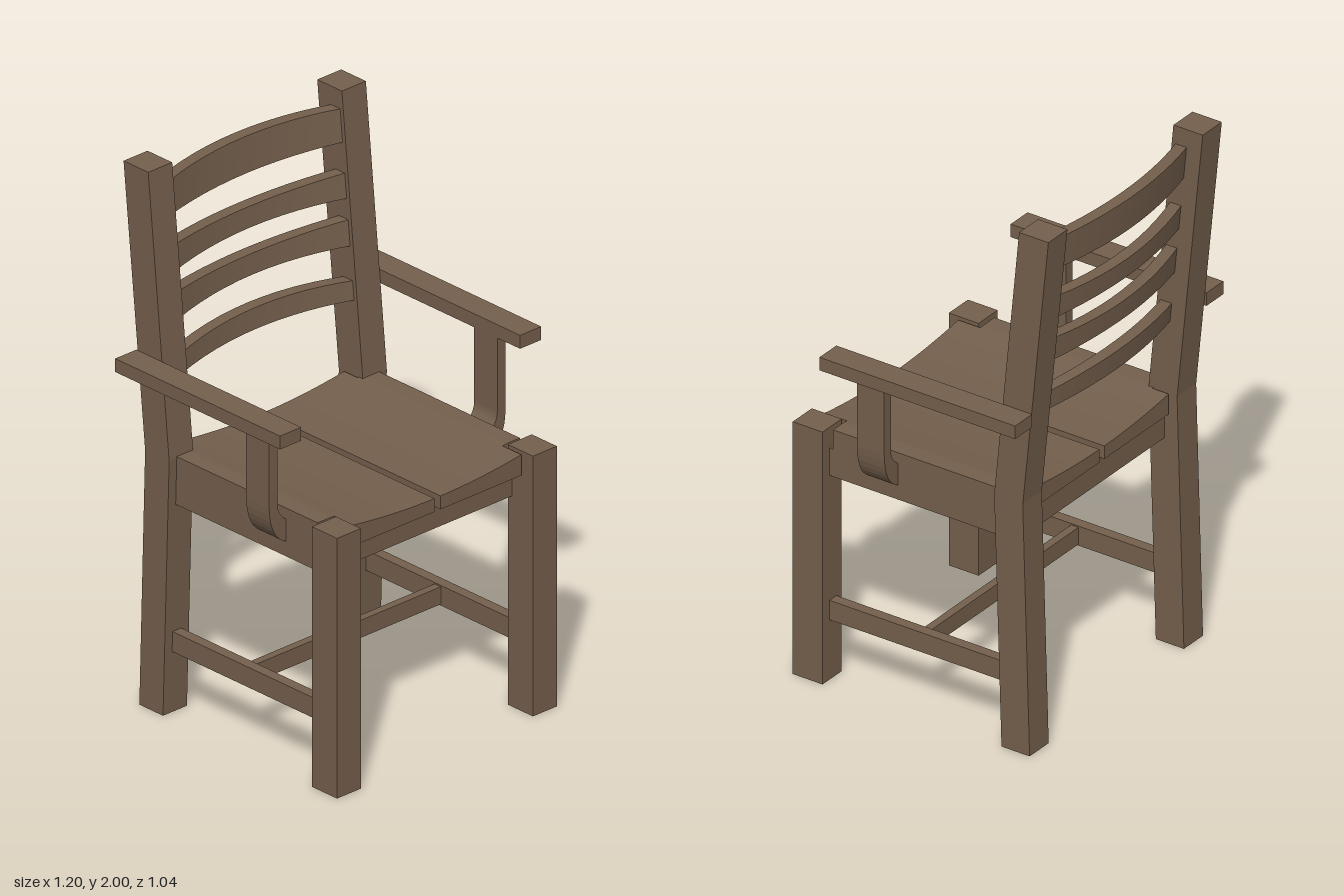
import * as THREE from 'three';

const wood = new THREE.MeshStandardMaterial({ color: 0x745f4c });
wood.name = 'brownWood';

export function createModel() {
  const chair = new THREE.Group();
  chair.name = 'armchair';

  const add = (name, geometry) => {
    const mesh = new THREE.Mesh(geometry, wood);
    mesh.name = name;
    chair.add(mesh);
    return mesh;
  };
  // box given by its limits on each axis
  const box = (name, x0, x1, y0, y1, z0, z1) =>
    add(name, new THREE.BoxGeometry(x1 - x0, y1 - y0, z1 - z0)
      .translate((x0 + x1) / 2, (y0 + y1) / 2, (z0 + z1) / 2));
  const bothBox = (name, x0, x1, ...rest) => {
    box('left' + name, x0, x1, ...rest);
    box('right' + name, -x1, -x0, ...rest);
  };
  // xy outline extruded from z0 to z1
  const slab = (shape, z0, z1) =>
    new THREE.ExtrudeGeometry(shape, { depth: z1 - z0, bevelEnabled: false, curveSegments: 8 })
      .translate(0, 0, z0);

  // front legs
  bothBox('FrontLeg', 0.395, 0.505, 0, 0.97, 0.4, 0.522);

  // back legs, bent at seat height; outline is (-z, y)
  const legShape = new THREE.Shape([
    [0.33, 0], [0.445, 0], [0.417, 0.96], [0.522, 2], [0.402, 2], [0.3, 0.96],
  ].map(([a, b]) => new THREE.Vector2(a, b)));
  for (const [name, x] of [['leftBackLeg', 0.39], ['rightBackLeg', -0.5]]) {
    add(name, slab(legShape, 0, 0.11).rotateY(Math.PI / 2).translate(x, 0, 0));
  }

  // aprons below the seat
  box('frontApron', -0.4, 0.4, 0.785, 0.886, 0.39, 0.42);
  box('backApron', -0.4, 0.4, 0.785, 0.886, -0.365, -0.33);
  bothBox('SideApron', 0.425, 0.465, 0.785, 0.89, -0.32, 0.41);

  // H-shaped stretcher
  bothBox('SideStretcher', 0.425, 0.465, 0.23, 0.305, -0.34, 0.41);
  box('middleStretcher', -0.43, 0.43, 0.235, 0.3, 0.012, 0.042);

  // dished seat boards, narrower between the legs
  const seatTop = (x) => 0.935 + 0.03 * Math.min(1, (x / 0.4) ** 2);
  const seatStrip = (name, side, x0, x1, z0, z1) => {
    const shape = new THREE.Shape();
    shape.moveTo(side * x0, 0.885);
    shape.lineTo(side * x1, 0.885);
    for (let i = 0; i <= 8; i++) {
      const x = x1 + (x0 - x1) * i / 8;
      shape.lineTo(side * x, seatTop(x));
    }
    add(name, slab(shape, z0, z1));
  };
  for (const [name, side] of [['left', 1], ['right', -1]]) {
    seatStrip(name + 'SeatBoard', side, 0.014, 0.385, -0.386, 0.476);
    seatStrip(name + 'SeatEdge', side, 0.385, 0.465, -0.32, 0.385);
  }

  // back slats, bowed backward and leaning with the legs
  // each row: bottom, top, rise of the bottom and of the top at the centre
  [[1.24, 1.31, 0.012, 0.018], [1.435, 1.532, 0.012, -0.01],
   [1.607, 1.7, 0.008, -0.01], [1.81, 1.93, 0, 0.01]].forEach(([y0, y1, r0, r1], n) => {
    const g = new THREE.BoxGeometry(0.82, 1, 0.045, 12, 1, 1);
    const p = g.attributes.position;
    for (let i = 0; i < p.count; i++) {
      const x = p.getX(i);
      const bow = 1 - (x / 0.41) ** 2;
      const y = p.getY(i) > 0 ? y1 + r1 * bow : y0 + r0 * bow;
      const lean = -0.333 - 0.098 * (y - 0.96);
      p.setXYZ(i, x, y, p.getZ(i) + lean - 0.057 * bow);
    }
    g.computeVertexNormals();
    add('backSlat' + (n + 1), g);
  });

  // armrests and their curved posts
  bothBox('Armrest', 0.503, 0.6, 1.27, 1.32, -0.457, 0.345);
  for (const [name, s] of [['leftArmPost', 1], ['rightArmPost', -1]]) {
    const post = new THREE.Shape();
    post.moveTo(s * 0.505, 1.28);
    post.lineTo(s * 0.505, 0.99);
    post.quadraticCurveTo(s * 0.503, 0.95, s * 0.46, 0.92);
    post.lineTo(s * 0.46, 0.838);
    post.quadraticCurveTo(s * 0.54, 0.87, s * 0.543, 0.99);
    post.lineTo(s * 0.543, 1.28);
    add(name, slab(post, 0.12, 0.232));
  }

  return chair;
}
